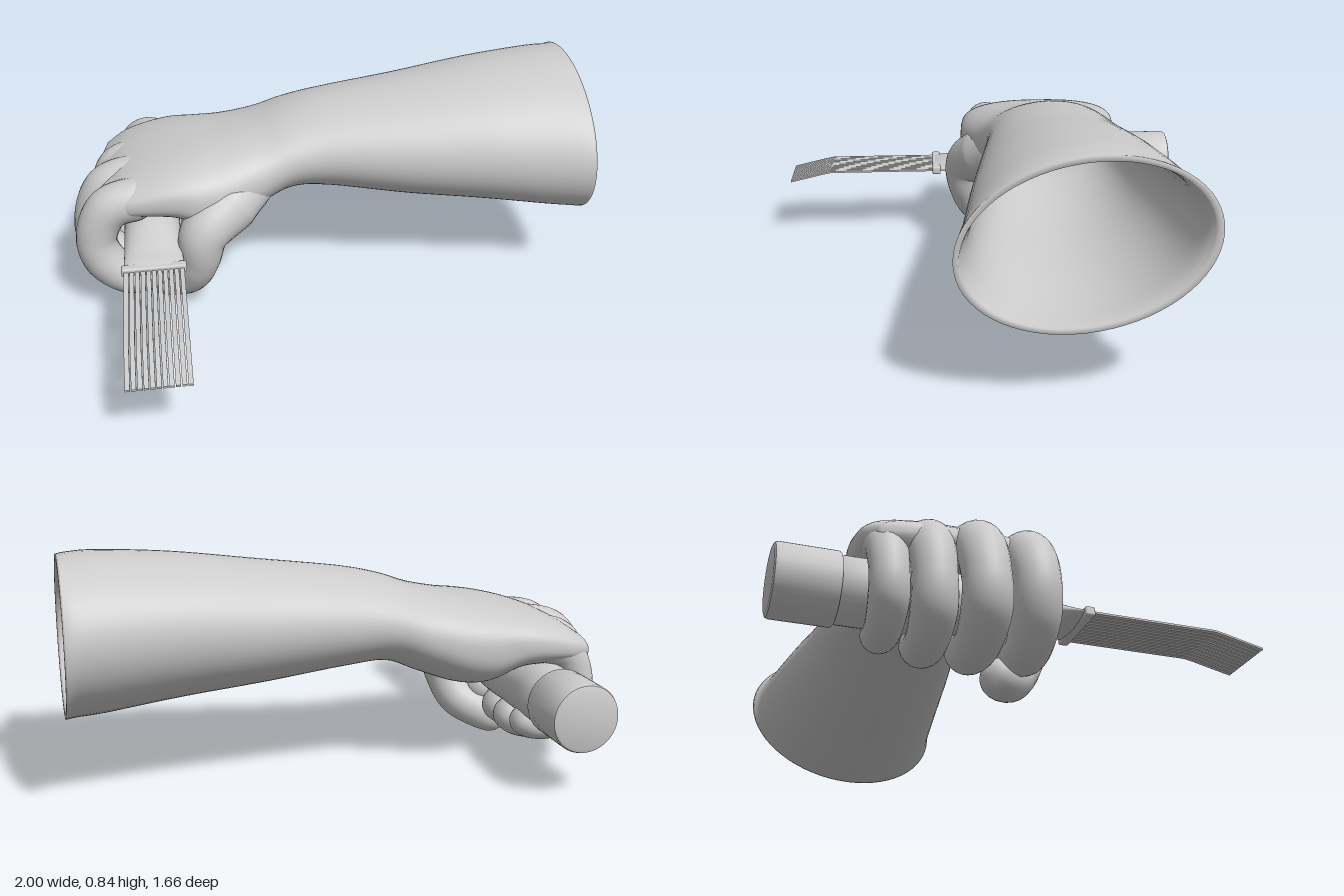
import * as THREE from 'three';
import { mergeVertices, toCreasedNormals } from 'three/addons/utils/BufferGeometryUtils.js';
import { RoundedBoxGeometry } from 'three/addons/geometries/RoundedBoxGeometry.js';

const material = new THREE.MeshStandardMaterial({ color: 0xcccccc, roughness: 0.7 });
const V = (x, y, z) => new THREE.Vector3(x, y, z);

function addMesh(parent, name, geometry) {
  const mesh = new THREE.Mesh(geometry, material);
  mesh.name = name;
  parent.add(mesh);
  return mesh;
}

// Weld seams so the normals run smoothly all round
function smooth(geometry) {
  geometry.deleteAttribute('uv');
  geometry.deleteAttribute('normal');
  const welded = mergeVertices(geometry, 1e-5);
  welded.computeVertexNormals();
  return welded;
}

// Skin a list of closed rings with equal point counts
function loft(rings) {
  const n = rings[0].length, index = [];
  for (let i = 0; i < rings.length - 1; i++) {
    for (let j = 0; j < n; j++) {
      const k = (j + 1) % n;
      const a = i * n + j, b = i * n + k, c = a + n, d = b + n;
      index.push(a, b, c, b, d, c);
    }
  }
  const geometry = new THREE.BufferGeometry().setFromPoints(rings.flat());
  geometry.setIndex(index);
  return smooth(geometry);
}

const ring = (n, point) => Array.from({ length: n }, (_, j) => {
  const a = (j / n) * Math.PI * 2;
  return point(Math.cos(a), Math.sin(a));
});

// Finger: a tube with varying thickness and round ends; points are [x, y, z, radius]
function finger(points) {
  const curve = new THREE.CatmullRomCurve3(points.map(p => V(p[0], p[1], p[2])));
  const segments = 64, sides = 24, length = curve.getLength();
  const geometry = new THREE.TubeGeometry(curve, segments, 1, sides);
  const pos = geometry.attributes.position, v = V(0, 0, 0);
  for (let i = 0; i <= segments; i++) {
    const u = i / segments, centre = curve.getPointAt(u);
    const t = curve.getUtoTmapping(u) * (points.length - 1);
    const k = Math.min(Math.floor(t), points.length - 2);
    let r = THREE.MathUtils.lerp(points[k][3], points[k + 1][3], t - k);
    const d = Math.min(u, 1 - u) * length;
    if (d < r) r *= Math.sqrt(Math.max(0, 1 - (1 - d / r) ** 2));
    for (let j = 0; j <= sides; j++) {
      const q = i * (sides + 1) + j;
      v.fromBufferAttribute(pos, q).sub(centre).multiplyScalar(r).add(centre);
      pos.setXYZ(q, v.x, v.y, v.z);
    }
  }
  return smooth(geometry);
}

// Forearm and palm stations: x, top y, bottom y, back z, front z
const ARM = [
  [0.99, 0.835, 0.265, -0.652, 0.17],
  [0.95, 0.84, 0.267, -0.625, 0.16],
  [0.85, 0.843, 0.275, -0.605, 0.14],
  [0.6, 0.825, 0.31, -0.57, 0.105],
  [0.3, 0.785, 0.345, -0.53, 0.06],
  [0.0, 0.745, 0.39, -0.505, 0.012],
  [-0.15, 0.712, 0.4, -0.5, 0.008],
  [-0.27, 0.67, 0.355, -0.51, 0.03],
  [-0.4, 0.638, 0.31, -0.535, 0.07],
  [-0.5, 0.622, 0.31, -0.555, 0.09],
  [-0.6, 0.602, 0.365, -0.572, 0.085],
  [-0.7, 0.575, 0.38, -0.572, 0.07],
  [-0.79, 0.54, 0.385, -0.56, 0.05],
  [-0.86, 0.495, 0.395, -0.52, 0.01],
];

function armGeometry() {
  const heights = new THREE.CatmullRomCurve3(ARM.map(s => V(s[0], s[1], s[2])), false, 'catmullrom');
  const depths = new THREE.CatmullRomCurve3(ARM.map(s => V(s[0], s[3], s[4])), false, 'catmullrom');
  const N = 64, last = ARM.length - 1;
  const section = (t, inset, scale = 1) => {
    const h = heights.getPoint(t / last), d = depths.getPoint(t / last);
    const ry = ((h.y - h.z) / 2 - inset) * scale, rz = ((d.z - d.y) / 2 - inset) * scale;
    const tilt = 0.04 * THREE.MathUtils.clamp(h.x, 0, 1);
    // the hand is squarer than the forearm
    const e = THREE.MathUtils.lerp(1, 0.78, THREE.MathUtils.smoothstep(-h.x, 0.1, 0.6));
    const pow = c => Math.sign(c) * Math.abs(c) ** e;
    return ring(N, (c, s) => V(h.x, (h.y + h.z) / 2 + ry * pow(s) - tilt * c, (d.y + d.z) / 2 + rz * pow(c)));
  };
  const rings = [section(9, 0.035, 0)];
  // inner wall, from the closed wrist out to the open cuff
  for (let t = 9; t >= 0; t -= 0.25) rings.push(section(t, 0.018 + 0.017 * Math.min(1, t / 5)));
  // outer skin, from the cuff to the knuckles
  for (let t = 0; t <= last; t += 0.2) rings.push(section(Math.min(t, last), 0));
  rings.push(section(last, 0), section(last, 0, 0.6).map(p => p.setX(-0.885)));
  rings.push(section(last, 0, 0).map(p => p.setX(-0.89)));
  return loft(rings);
}

export function createModel() {
  const model = new THREE.Group();
  model.name = 'handWithBrush';

  const hand = new THREE.Group();
  hand.name = 'hand';
  model.add(hand);
  addMesh(hand, 'forearmAndPalm', armGeometry());

  addMesh(hand, 'thumb', finger([
    [-0.24, 0.5, -0.12, 0.08], [-0.4, 0.425, -0.01, 0.115], [-0.505, 0.345, 0.062, 0.095],
    [-0.53, 0.23, 0.058, 0.08], [-0.57, 0.135, 0.01, 0.077], [-0.65, 0.085, -0.05, 0.072],
    [-0.735, 0.055, -0.105, 0.062],
  ]));

  // Curled fingers: name, z, thickness, then x, y of the joints
  const fingers = [
    ['indexFinger', -0.035, 0.08, [[-0.68, 0.47], [-0.85, 0.435], [-0.912, 0.31], [-0.885, 0.205], [-0.79, 0.132], [-0.69, 0.165], [-0.61, 0.225]]],
    ['middleFinger', -0.205, 0.081, [[-0.68, 0.48], [-0.86, 0.435], [-0.925, 0.29], [-0.91, 0.195], [-0.82, 0.128], [-0.7, 0.14], [-0.62, 0.2]]],
    ['ringFinger', -0.355, 0.075, [[-0.68, 0.48], [-0.82, 0.44], [-0.868, 0.3], [-0.85, 0.2], [-0.77, 0.138], [-0.68, 0.145], [-0.6, 0.205]]],
    ['littleFinger', -0.49, 0.066, [[-0.66, 0.48], [-0.78, 0.44], [-0.833, 0.31], [-0.82, 0.23], [-0.75, 0.172], [-0.67, 0.172], [-0.6, 0.215]]],
  ];
  for (const [name, z, r, path] of fingers) {
    addMesh(hand, name, finger(path.map(([x, y], i) =>
      [x, y, z + 0.004 * i, r * [1.05, 1.05, 0.97, 1, 0.92, 0.9, 0.85][i]])));
  }

  const brush = new THREE.Group();
  brush.name = 'brush';
  brush.position.set(-0.7, 0.295, 0);
  model.add(brush);

  // Handle: round in the fist, flattening towards the bristles (z, half width, half height)
  const handle = [[-0.64, 0, 0], [-0.64, 0.108, 0.112], [-0.5, 0.108, 0.112], [-0.15, 0.108, 0.11], [-0.05, 0.108, 0.1],
    [0.03, 0.108, 0.07], [0.1, 0.109, 0.038], [0.15, 0.11, 0.022], [0.2, 0.11, 0.016], [0.2, 0, 0]];
  addMesh(brush, 'handle', loft(handle.map(([z, rx, ry]) => ring(40, (c, s) => V(rx * c, ry * s, z)))));

  // End cap with a rounded rim
  const profile = [[0, 0], [0.108, 0], [0.118, 0.004], [0.122, 0.014], [0.122, 0.204], [0.119, 0.21], [0.1, 0.212], [0, 0.212]];
  const cap = new THREE.LatheGeometry(profile.map(p => new THREE.Vector2(...p)), 48);
  cap.rotateX(Math.PI / 2);
  addMesh(brush, 'endCap', toCreasedNormals(cap, 0.7)).position.z = -0.832;

  addMesh(brush, 'bristleClamp', new RoundedBoxGeometry(0.24, 0.034, 0.036, 3, 0.008)).position.set(0, -0.003, 0.195);

  // Bristles: thin strands, bent down near the tip
  const bristles = new THREE.Group();
  bristles.name = 'bristles';
  brush.add(bristles);
  for (let i = 0; i < 11; i++) {
    const strand = new THREE.BoxGeometry(0.0165, 0.007, 0.63, 1, 1, 18);
    strand.translate((i - 5) * 0.0205, -0.003, 0.515);
    const pos = strand.attributes.position;
    for (let k = 0; k < pos.count; k++) {
      pos.setY(k, pos.getY(k) - 0.235 * Math.max(0, pos.getZ(k) - 0.66));
    }
    strand.computeVertexNormals();
    addMesh(bristles, 'bristle', strand);
  }
  return model;
}
